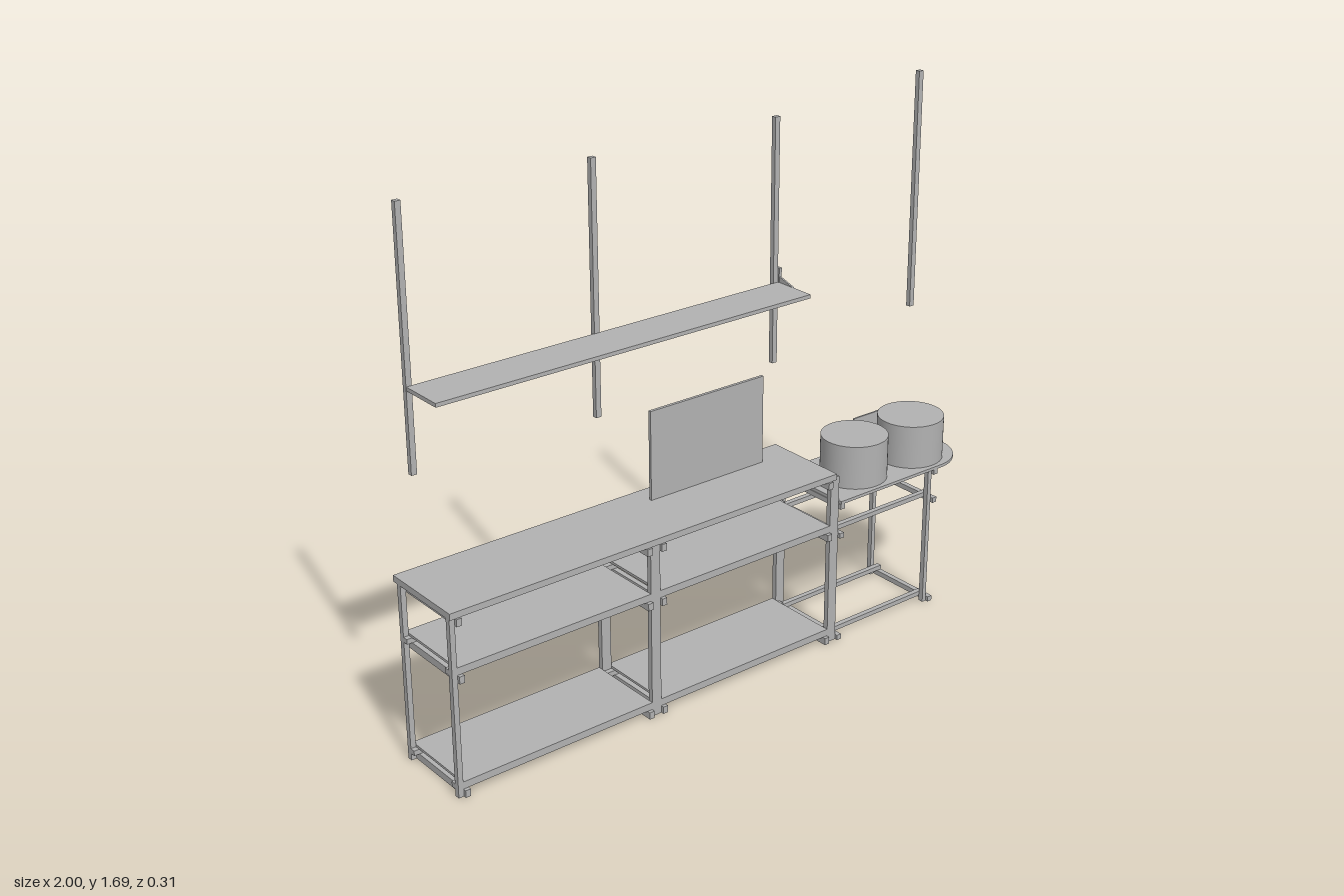
import * as THREE from 'three';

export function createModel() {
  const root = new THREE.Group();
  const grey = new THREE.MeshStandardMaterial({ color: 0xb2b2b2 });
  const T = 0.017; // square tube size

  function add(parent, name, geometry) {
    const mesh = new THREE.Mesh(geometry, grey);
    mesh.name = name;
    parent.add(mesh);
    return mesh;
  }
  // box given by its limits on each axis
  function box(parent, name, x0, x1, y0, y1, z0, z1) {
    const m = add(parent, name, new THREE.BoxGeometry(x1 - x0, y1 - y0, z1 - z0));
    m.position.set((x0 + x1) / 2, (y0 + y1) / 2, (z0 + z1) / 2);
    return m;
  }
  function group(name) {
    const g = new THREE.Group();
    g.name = name;
    root.add(g);
    return g;
  }

  const legZ = [[-0.118, -0.101], [0.13, 0.147]];
  const railZ = [[-0.101, -0.084], [0.113, 0.13]];
  const barZ = [-0.134, 0.157];

  // Two shelved bench bays, with legs at the ends and cross bars just inside
  const bench = group('bench');
  for (const [x0, x1] of [[-1, -0.302], [-0.302, 0.397]]) {
    for (const [z0, z1] of legZ) {
      box(bench, 'benchLeg', x0, x0 + T, 0, 0.565, z0, z1);
      box(bench, 'benchLeg', x1 - T, x1, 0, 0.565, z0, z1);
    }
    for (const y of [0, 0.364, 0.541]) {
      for (const x of [x0 + T, x1 - 2 * T]) {
        box(bench, 'benchCrossBar', x, x + T, y, y + 0.023, ...barZ);
      }
      for (const [z0, z1] of railZ) {
        box(bench, 'benchRail', x0, x1, y + 0.023, y + 0.039, z0, z1);
      }
      if (y < 0.5) {
        box(bench, 'benchShelf', x0 + T, x1 - T, y + 0.024, y + 0.047, 0.13, 0.147);
        box(bench, 'benchShelf', x0 + T, x1 - T, y + 0.024, y + 0.047, -0.118, -0.101);
        box(bench, 'benchShelf', x0 + T, x1 - T, y + 0.039, y + 0.047, -0.101, 0.13);
      }
    }
  }
  box(bench, 'benchTop', -1, 0.4, 0.564, 0.584, -0.137, 0.151);

  // Upright panel standing on the bench
  box(root, 'screenPanel', -0.155, 0.28, 0.584, 0.872, -0.07, -0.06);

  // Open side frame; its inner legs reach the bench top
  const side = group('sideFrame');
  for (const [z0, z1] of legZ) {
    box(side, 'sideInnerLeg', 0.397, 0.414, 0, 0.572, z0, z1);
    box(side, 'sideOuterLeg', 0.803, 0.818, 0, 0.478, z0, z1);
  }
  for (const y of [0, 0.36, 0.46]) {
    for (const x of [0.414, 0.818]) {
      box(side, 'sideCrossBar', x, x + T, y, y + T, ...barZ);
    }
    if (y > 0.4) continue;
    for (const [z0, z1] of railZ) {
      box(side, 'sideRail', 0.397, 0.835, y + T, y + 2 * T - 0.002, z0, z1);
    }
  }
  for (const [z0, z1] of railZ) box(side, 'sideTopRail', 0.414, 0.835, 0.46, 0.477, z0, z1);

  // Side board with one rounded front corner
  const s = new THREE.Shape();
  s.moveTo(0.416, 0.133);
  s.lineTo(0.416, -0.157);
  s.lineTo(0.85, -0.157);
  s.absarc(0.85, -0.027, 0.13, -Math.PI / 2, 0, false);
  s.lineTo(0.98, 0.133);
  s.closePath();
  const board = add(side, 'sideBoard',
    new THREE.ExtrudeGeometry(s, { depth: 0.01, bevelEnabled: false, curveSegments: 16 }));
  board.rotation.x = -Math.PI / 2;
  board.position.y = 0.477;
  box(side, 'backPlate', 0.73, 0.885, 0.485, 0.583, -0.133, -0.127);

  // Two drums on the board
  for (const x of [0.578, 0.824]) {
    add(root, 'drum', new THREE.CylinderGeometry(0.107, 0.107, 0.143, 48))
      .position.set(x, 0.5585, 0.036);
  }

  // Hanging posts and the long upper shelf
  const upper = group('upperShelf');
  for (const x of [-0.922, -0.297, 0.377]) {
    box(upper, 'post', x - 0.009, x + 0.009, 0.872, 1.652, -0.137, -0.121);
  }
  box(root, 'cornerPost', 0.978, 0.996, 0.91, 1.69, -0.158, -0.142);
  box(upper, 'wallShelf', -0.93, 0.39, 1.122, 1.134, -0.123, 0.024);

  // End bracket: a wall strip with a tapered gusset
  box(upper, 'bracketStrip', 0.386, 0.396, 1.08, 1.18, -0.13, -0.115);
  const gusset = new THREE.Shape();
  gusset.moveTo(0.115, 1.105);
  gusset.lineTo(0.115, 1.152);
  gusset.lineTo(0.055, 1.134);
  gusset.lineTo(0.055, 1.122);
  gusset.closePath();
  const bracket = add(upper, 'bracketGusset',
    new THREE.ExtrudeGeometry(gusset, { depth: 0.006, bevelEnabled: false }));
  bracket.rotation.y = Math.PI / 2;
  bracket.position.x = 0.388;

  return root;
}
